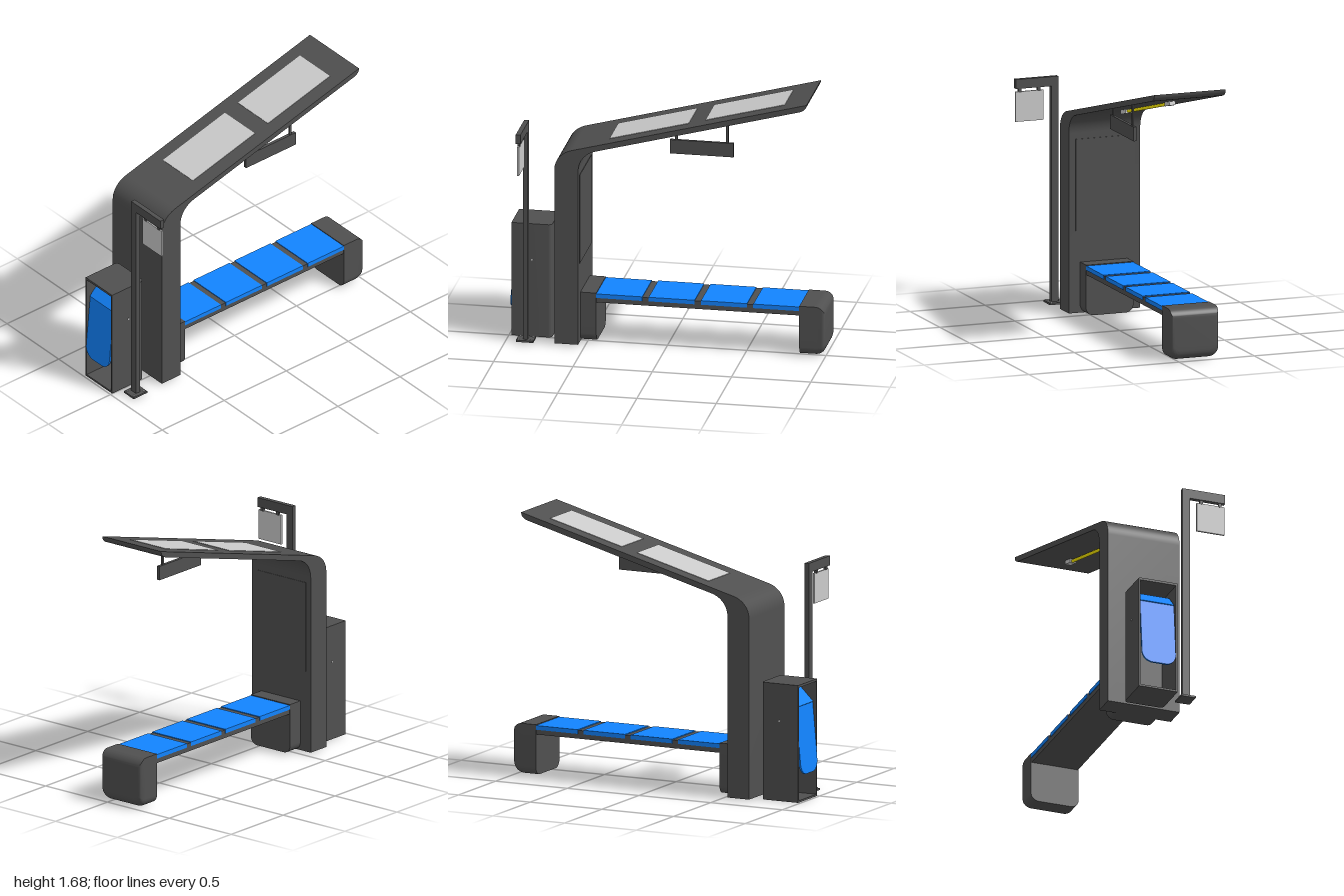
import * as THREE from 'three';
import { toCreasedNormals } from 'three/addons/utils/BufferGeometryUtils.js';

const mat = (color) => new THREE.MeshStandardMaterial({ color });

export function createModel() {
  const root = new THREE.Group();
  const dark = mat(0x505050), grey = mat(0xcccccc), blue = mat(0x1284ff), yellow = mat(0xffee00);

  const add = (name, geometry, material, parent = root) => {
    const mesh = new THREE.Mesh(geometry, material);
    mesh.name = name;
    parent.add(mesh);
    return mesh;
  };
  // Box given by its limits on each axis
  const box = (name, x0, x1, y0, y1, z0, z1, material, parent) => {
    const m = add(name, new THREE.BoxGeometry(x1 - x0, y1 - y0, z1 - z0), material, parent);
    m.position.set((x0 + x1) / 2, (y0 + y1) / 2, (z0 + z1) / 2);
    return m;
  };
  const extrude = (shape, depth, steps = 1) =>
    new THREE.ExtrudeGeometry(shape, { depth, steps, bevelEnabled: false, curveSegments: 12 });
  const group = (name) => {
    const g = new THREE.Group();
    g.name = name;
    root.add(g);
    return g;
  };

  // Shelter: post and sloping roof as one bent slab
  const tilt = Math.PI / 12, slope = Math.tan(tilt);
  const topY = (x) => 1.68 + slope * (x - 0.9);
  const underY = (x) => 1.63 + slope * (x - 0.85);
  const shelter = group('shelter');
  const s = new THREE.Shape();
  s.moveTo(-0.69, 0.01);
  s.lineTo(-0.54, 0.01);
  s.lineTo(-0.54, 1.15);
  s.bezierCurveTo(-0.54, 1.21, -0.5, underY(-0.5), -0.43, underY(-0.43));
  s.lineTo(0.85, underY(0.85));
  s.quadraticCurveTo(0.9, underY(0.9), 0.9, 1.68);
  s.lineTo(-0.58, topY(-0.58));
  s.bezierCurveTo(-0.64, topY(-0.64), -0.69, 1.22, -0.69, 1.15);
  const slab = add('postAndRoof', toCreasedNormals(extrude(s, 0.475), 0.6), dark, shelter);
  slab.position.z = -0.35;
  box('postPanel', -0.545, -0.537, 0.53, 1.11, -0.31, 0.08, dark, shelter);

  // Solar panels on the roof
  for (const x of [-0.11, 0.495]) {
    const p = add('solarPanel', new THREE.BoxGeometry(0.5 / Math.cos(tilt), 0.006, 0.29), grey, shelter);
    p.position.set(x, topY(x), -0.115);
    p.rotation.z = tilt;
  }

  // Light tube below the roof
  const lamp = group('lamp');
  lamp.position.set(0.19, underY(0.19) - 0.012, -0.113);
  lamp.rotation.z = tilt;
  add('lightTube', new THREE.CylinderGeometry(0.01, 0.01, 0.72, 16).rotateZ(Math.PI / 2), yellow, lamp);
  for (const side of [-1, 1]) {
    add('lampHolder', new THREE.BoxGeometry(0.085, 0.026, 0.04), grey, lamp).position.x = side * 0.382;
  }

  // Hanging sign board
  const sign = group('hangingSign');
  box('signBoard', 0.03, 0.43, 1.29, 1.38, 0.057, 0.077, dark, sign);
  for (const x of [0.07, 0.39]) {
    box('signHanger', x - 0.008, x + 0.008, 1.375, underY(x) + 0.01, 0.062, 0.072, dark, sign);
  }

  // Bench leg: rounded along the bottom, optionally rounded toward its outer end
  const legGeometry = (length, endRadius) => {
    const w = 0.1575, h = 0.16, r = 0.05;
    const p = new THREE.Shape();
    p.moveTo(-w, h);
    p.lineTo(-w, -h + r);
    p.absarc(-w + r, -h + r, r, Math.PI, 1.5 * Math.PI, false);
    p.absarc(w - r, -h + r, r, 1.5 * Math.PI, 2 * Math.PI, false);
    p.lineTo(w, h);
    p.closePath();
    const g = extrude(p, length, 24), a = g.attributes.position;
    const inset = (radius, z) => {
      const d = Math.max(0, z - (length - radius));
      return radius - Math.sqrt(Math.max(0, radius * radius - d * d));
    };
    if (endRadius) {
      for (let i = 0; i < a.count; i++) {
        const z = length * Math.sin((a.getZ(i) / length) * Math.PI / 2);
        a.setXYZ(i, a.getX(i) * (1 - inset(0.02, z) / w), a.getY(i) * (1 - inset(endRadius, z) / h), z);
      }
    }
    return toCreasedNormals(g.rotateY(Math.PI / 2), 0.7);
  };
  const bench = group('bench');
  add('innerLeg', legGeometry(0.1, 0), dark, bench).position.set(-0.54, 0.17, -0.108);
  add('outerLeg', legGeometry(0.16, 0.06), dark, bench).position.set(0.84, 0.17, -0.108);
  box('benchBeam', -0.45, 0.85, 0.268, 0.315, -0.262, 0.046, dark, bench);
  for (let i = 0; i < 4; i++) {
    const x = -0.44 + i * 0.33;
    box('seat', x, x + 0.29, 0.298, 0.325, -0.2655, 0.0495, blue, bench);
    if (i < 3) box('seatDivider', x + 0.29, x + 0.33, 0.3, 0.32, -0.262, 0.046, dark, bench);
  }

  // Litter bin: hollow shell open on its outer side
  const bin = group('litterBin');
  const plan = (x0, x1, half, r, shape) => {
    shape.moveTo(x0, -half);
    shape.lineTo(x1 - r, -half);
    shape.absarc(x1 - r, -half + r, r, -Math.PI / 2, 0, false);
    shape.absarc(x1 - r, half - r, r, 0, Math.PI / 2, false);
    shape.lineTo(x0, half);
    return shape;
  };
  const full = plan(-0.985, -0.73, 0.128, 0.025, new THREE.Shape());
  const walls = plan(-0.985, -0.73, 0.128, 0.025, new THREE.Shape());
  const t = 0.01;
  walls.lineTo(-0.985, 0.128 - t);
  walls.lineTo(-0.73 - t, 0.128 - t);
  walls.lineTo(-0.73 - t, -0.128 + t);
  walls.lineTo(-0.985, -0.128 + t);
  for (const [name, shape, y, h] of [['binWalls', walls, 0, 0.74], ['binFloor', full, 0, 0.012], ['binTop', full, 0.725, 0.015]]) {
    const m = add(name, toCreasedNormals(extrude(shape, h).rotateX(-Math.PI / 2), 0.6), dark, bin);
    m.position.set(0, y, -0.13);
  }
  for (const z of [-0.259, -0.001]) {
    const knob = add('binLock', new THREE.CylinderGeometry(0.006, 0.006, 0.006, 16).rotateX(Math.PI / 2), grey, bin);
    knob.position.set(-0.855, 0.505, z);
  }
  // Tilted flap with rounded lower corners and a sloping head
  const f = new THREE.Shape();
  f.moveTo(-0.112, 0.43);
  f.lineTo(-0.112, 0.07);
  f.absarc(-0.042, 0.07, 0.07, Math.PI, 1.5 * Math.PI, false);
  f.absarc(0.042, 0.07, 0.07, 1.5 * Math.PI, 2 * Math.PI, false);
  f.lineTo(0.112, 0.43);
  const flap = add('binFlap', toCreasedNormals(extrude(f, 0.012).rotateY(-Math.PI / 2), 0.6), blue, bin);
  flap.position.set(-0.988, 0.17, -0.13);
  flap.rotation.z = -0.09;
  const head = add('binFlapHead', new THREE.BoxGeometry(0.012, 0.12, 0.224), blue, bin);
  head.position.set(-0.918, 0.636, -0.13);
  head.rotation.z = -0.8;

  // Stop pole with base plate, arm and hanging flag
  const pole = group('stopPole');
  box('basePlate', -0.93, -0.82, 0.008, 0.02, 0.045, 0.14, dark, pole);
  for (const x of [-0.915, -0.835]) {
    for (const z of [0.06, 0.125]) {
      add('baseBolt', new THREE.CylinderGeometry(0.007, 0.007, 0.008, 6), grey, pole).position.set(x, 0.022, z);
    }
  }
  box('poleShaft', -0.89, -0.86, 0.01, 1.39, 0.068, 0.115, dark, pole);
  box('poleArm', -0.89, -0.86, 1.385, 1.445, 0.068, 0.35, dark, pole);
  box('flag', -0.881, -0.869, 1.175, 1.365, 0.165, 0.35, grey, pole);
  for (const z of [0.195, 0.32]) {
    box('flagHanger', -0.883, -0.867, 1.36, 1.39, z - 0.01, z + 0.01, dark, pole);
  }

  return root;
}
